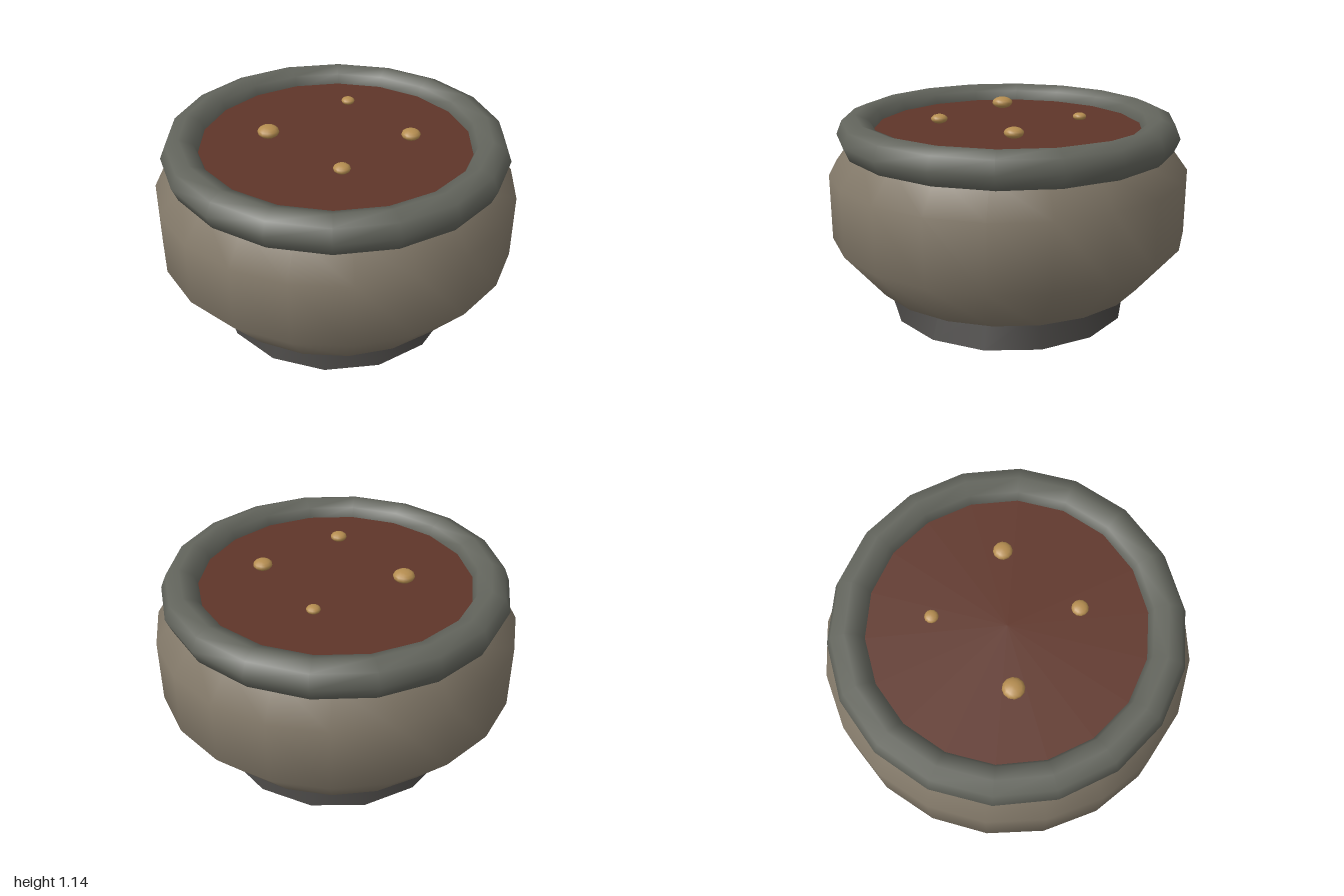
import * as THREE from 'three';

function part(name, geometry, color, y = 0) {
  const material = new THREE.MeshStandardMaterial({ color });
  const mesh = new THREE.Mesh(geometry, material);
  mesh.name = name;
  mesh.position.y = y;
  return mesh;
}

export function createModel() {
  const model = new THREE.Group();
  model.name = 'stewPot';

  // Flared foot
  model.add(part('foot', new THREE.CylinderGeometry(0.61, 0.68, 0.19, 14), 0x444240, 0.095));

  // Rounded belly, closed underneath and running up into the rim
  const profile = [[0.5, 0.19], [0.775, 0.19], [1, 0.46], [1, 0.825], [0.87, 1.0]]
    .map(([r, y]) => new THREE.Vector2(r, y));
  const belly = part('belly', new THREE.LatheGeometry(profile, 20), 0x857b6b);
  belly.material.side = THREE.DoubleSide;
  model.add(belly);

  // Thick rolled rim
  const rim = new THREE.TorusGeometry(0.845, 0.105, 8, 18).rotateX(Math.PI / 2);
  model.add(part('rim', rim, 0x62645c, 1.03));

  // Stew surface
  const stew = new THREE.CircleGeometry(0.78, 18).rotateX(-Math.PI / 2);
  model.add(part('stew', stew, 0x5f3529, 1.05));

  // Flattened bubbles: x, z, radius
  const bubbles = new THREE.Group();
  bubbles.name = 'bubbles';
  for (const [x, z, r] of [[-0.32, 0.18, 0.06], [0.36, -0.19, 0.053], [0.225, 0.315, 0.046], [-0.14, -0.37, 0.038]]) {
    const bubble = part('bubble', new THREE.SphereGeometry(r, 12, 8), 0xb58d50, 1.11);
    bubble.position.x = x;
    bubble.position.z = z;
    bubble.scale.y = 0.55;
    bubbles.add(bubble);
  }
  model.add(bubbles);

  return model;
}
